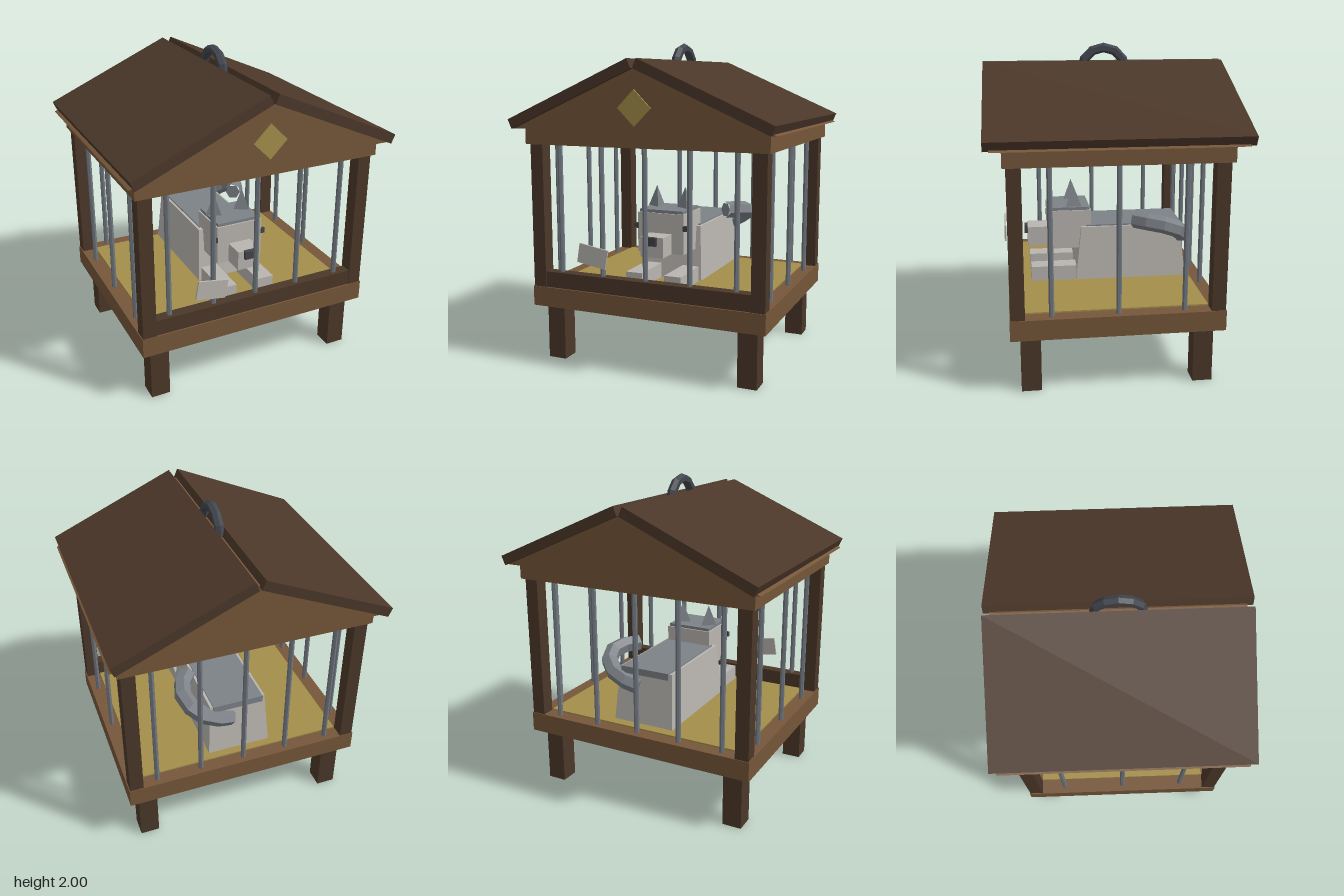
import * as THREE from 'three';

const paint = (name, color, extra = {}) => {
  const m = new THREE.MeshStandardMaterial({ color, flatShading: true, ...extra });
  m.name = name;
  return m;
};

export function createModel() {
  const model = new THREE.Group();
  model.name = 'cagedCat';

  const darkWood = paint('dark wood', 0x4b3729);
  const wood = paint('wood', 0x755639);
  const straw = paint('straw yellow', 0xa38e4a);
  const steel = paint('bar steel', 0x70777f);
  const iron = paint('handle iron', 0x42464e);
  const fur = paint('pale fur', 0xb9b5b0);
  const greyFur = paint('grey fur', 0x7d8288);
  const black = paint('nose black', 0x444449);

  const add = (name, geo, mat, x = 0, y = 0, z = 0, parent = model) => {
    const mesh = new THREE.Mesh(geo, mat);
    mesh.name = name;
    mesh.position.set(x, y, z);
    parent.add(mesh);
    return mesh;
  };
  // Box given by its min and max on each axis
  const box = (name, mat, [x0, x1], [y0, y1], [z0, z1], parent = model) =>
    add(name, new THREE.BoxGeometry(x1 - x0, y1 - y0, z1 - z0), mat,
      (x0 + x1) / 2, (y0 + y1) / 2, (z0 + z1) / 2, parent);

  // Base, straw floor, front rail and top beam
  box('base', wood, [-0.765, 0.765], [0.355, 0.48], [-0.64, 0.64]);
  box('strawFloor', straw, [-0.67, 0.67], [0.48, 0.489], [-0.55, 0.55]);
  box('frontRail', darkWood, [-0.68, 0.68], [0.48, 0.58], [0.56, 0.63]);
  box('topBeam', wood, [-0.78, 0.78], [1.38, 1.48], [-0.655, 0.655]);

  // Legs and corner posts
  for (const sx of [-1, 1]) for (const sz of [-1, 1]) {
    add('leg', new THREE.BoxGeometry(0.12, 0.36, 0.12), darkWood, sx * 0.64, 0.18, sz * 0.52);
    add('post', new THREE.BoxGeometry(0.085, 0.9, 0.085), darkWood, sx * 0.717, 0.93, sz * 0.593);
  }

  // Bars on all four sides
  const barGeo = new THREE.CylinderGeometry(0.016, 0.016, 0.9, 6);
  for (const s of [-1, 1]) {
    for (let i = -2; i <= 2; i++) add('bar', barGeo, steel, i * 0.2875, 0.93, s * 0.593);
    for (let i = -1; i <= 1; i++) add('bar', barGeo, steel, s * 0.717, 0.93, i * 0.395);
  }

  // Gable prism with a diamond on the front
  const tri = new THREE.Shape([
    new THREE.Vector2(-0.835, 1.48), new THREE.Vector2(0.835, 1.48), new THREE.Vector2(0, 1.85)]);
  add('gable', new THREE.ExtrudeGeometry(tri, { depth: 1.44, bevelEnabled: false }), wood, 0, 0, -0.72);
  add('diamond', new THREE.BoxGeometry(0.148, 0.148, 0.009), straw, 0, 1.615, 0.7245).rotation.z = Math.PI / 4;

  // Roof slabs
  for (const s of [-1, 1]) {
    add('roofSlab', new THREE.BoxGeometry(0.88, 0.06, 1.51), darkWood, s * 0.42, 1.686, 0)
      .rotation.z = -s * 0.415;
  }

  // Carrying handle on the ridge
  add('handle', new THREE.TorusGeometry(0.14, 0.03, 6, 6, Math.PI), iron, 0, 1.83, 0).rotation.y = Math.PI / 2;

  // Tilted tag outside the front bars
  add('tag', new THREE.BoxGeometry(0.195, 0.12, 0.012), fur, -0.325, 0.715, 0.653).rotation.z = -0.165;

  // Cat
  const cat = new THREE.Group();
  cat.name = 'cat';
  model.add(cat);

  // Body narrows towards the top
  const bodyGeo = new THREE.BoxGeometry(0.41, 0.345, 0.72);
  const p = bodyGeo.attributes.position;
  for (let i = 0; i < p.count; i++) {
    if (p.getY(i) > 0) p.setXYZ(i, p.getX(i) * 0.89, p.getY(i), p.getZ(i) * 0.89);
  }
  add('body', bodyGeo, fur, 0, 0.6775, -0.155, cat);
  box('backPatch', greyFur, [-0.165, 0.165], [0.815, 0.858], [-0.49, 0.13], cat);

  // Head
  box('head', fur, [-0.155, 0.155], [0.705, 0.955], [0.1, 0.375], cat);
  box('headPatch', greyFur, [-0.145, 0.145], [0.95, 0.974], [0.11, 0.365], cat);
  box('muzzle', fur, [-0.075, 0.075], [0.705, 0.83], [0.37, 0.505], cat);
  box('nose', black, [-0.035, 0.035], [0.778, 0.83], [0.495, 0.525], cat);

  // Ears, eyes and front paws
  for (const s of [-1, 1]) {
    add('ear', new THREE.ConeGeometry(0.06, 0.135, 3), greyFur, s * 0.098, 1.038, 0.21, cat)
      .rotation.y = Math.PI / 6;
    add('eye', new THREE.BoxGeometry(0.03, 0.033, 0.02), black, s * 0.165, 0.869, 0.367, cat);
    add('paw', new THREE.BoxGeometry(0.11, 0.095, 0.29), fur, s * 0.13, 0.5475, 0.345, cat);
  }

  // Tail curling round the left side, with closed ends
  const path = new THREE.CatmullRomCurve3([
    [0.04, 0.74, -0.48], [0.2, 0.79, -0.49], [0.31, 0.87, -0.4], [0.3, 0.9, -0.27], [0.23, 0.905, -0.17],
  ].map(a => new THREE.Vector3(...a)));
  add('tail', new THREE.TubeGeometry(path, 6, 0.055, 6), greyFur, 0, 0, 0, cat);
  for (const t of [0, 1]) {
    const cap = add('tailEnd', new THREE.CircleGeometry(0.05, 6), greyFur, 0, 0, 0, cat);
    cap.position.copy(path.getPointAt(t));
    const dir = path.getTangentAt(t).multiplyScalar(t ? 1 : -1);
    cap.quaternion.setFromUnitVectors(new THREE.Vector3(0, 0, 1), dir);
  }

  return model;
}
